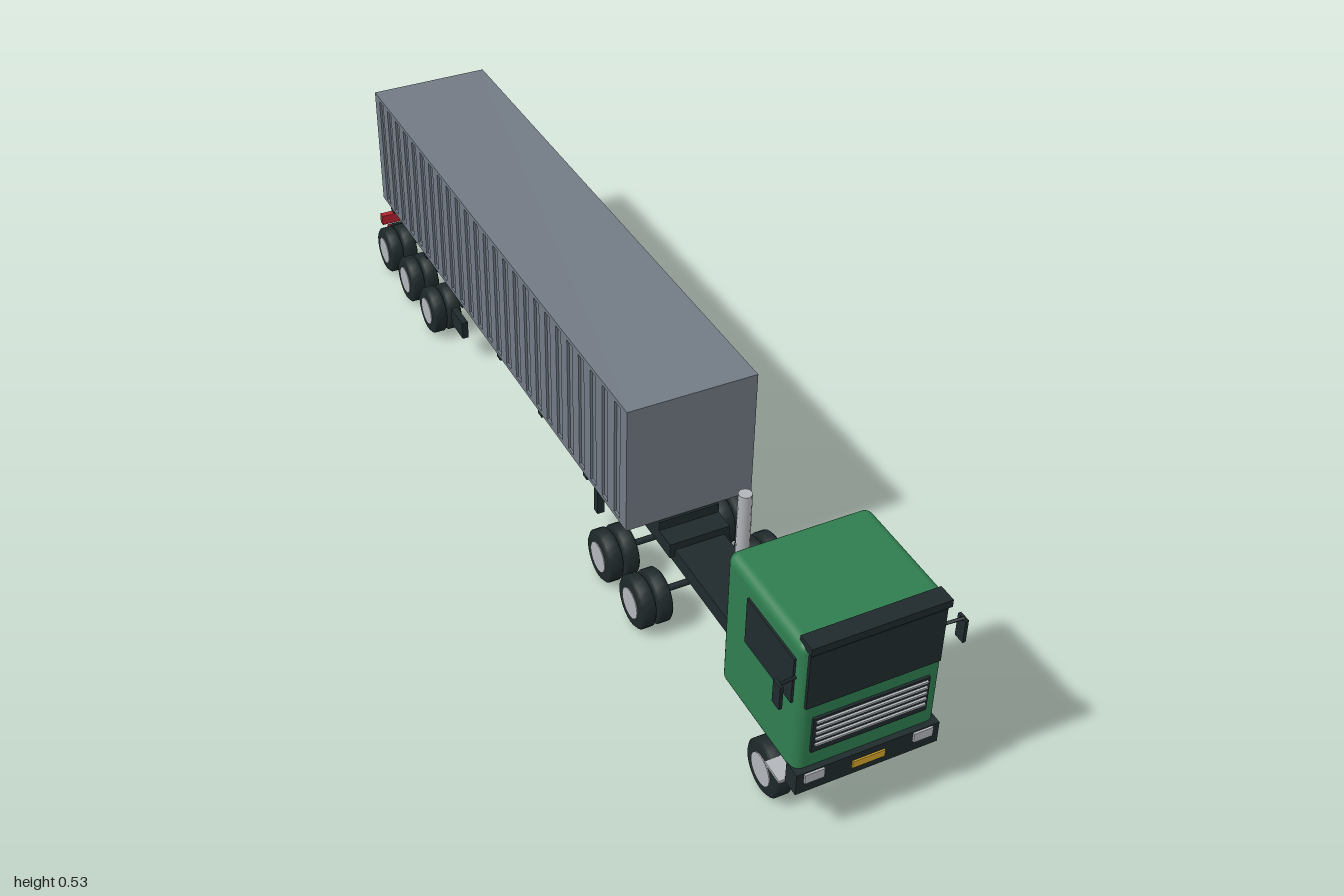
import * as THREE from 'three';
import { RoundedBoxGeometry } from 'three/addons/geometries/RoundedBoxGeometry.js';

const mat = (name, color) => {
  const m = new THREE.MeshStandardMaterial({ color });
  m.name = name;
  return m;
};

export function createModel() {
  const green = mat('cab green', 0x2f7d4f);
  const grey = mat('container grey', 0x727a84);
  const dark = mat('dark trim', 0x1f2a2c);
  const glass = mat('window glass', 0x202b2d);
  const rubber = mat('tyre rubber', 0x1e2829);
  const silver = mat('silver metal', 0xb2b5ba);
  const red = mat('rear bar red', 0xb5222e);
  const yellow = mat('plate yellow', 0xd3a62a);

  const model = new THREE.Group();
  model.name = 'containerTruck';
  const group = (name) => {
    const g = new THREE.Group();
    g.name = name;
    model.add(g);
    return g;
  };
  const add = (parent, name, geometry, material, x = 0, y = 0, z = 0) => {
    const m = new THREE.Mesh(geometry, material);
    m.name = name;
    m.position.set(x, y, z);
    parent.add(m);
    return m;
  };
  // Box given by its limits on each axis
  const box = (parent, name, material, [x0, x1], [y0, y1], [z0, z1]) =>
    add(parent, name, new THREE.BoxGeometry(x1 - x0, y1 - y0, z1 - z0), material,
      (x0 + x1) / 2, (y0 + y1) / 2, (z0 + z1) / 2);
  // The same box on both sides of the truck
  const pair = (parent, name, material, [x0, x1], y, z) => {
    box(parent, name + 'Left', material, [x0, x1], y, z);
    box(parent, name + 'Right', material, [-x1, -x0], y, z);
  };

  // Cab shell
  const cab = group('cab');
  add(cab, 'cabShell', new RoundedBoxGeometry(0.27, 0.29, 0.25, 4, 0.018), green, 0, 0.285, 0.86);
  box(cab, 'windshield', glass, [-0.125, 0.125], [0.298, 0.413], [0.981, 0.989]);
  pair(cab, 'sideWindow', glass, [0.131, 0.139], [0.297, 0.393], [0.815, 0.965]);
  box(cab, 'sunVisor', dark, [-0.128, 0.128], [0.421, 0.436], [0.96, 0.995]);

  // Grille with bright slats
  box(cab, 'grille', dark, [-0.109, 0.109], [0.193, 0.269], [0.98, 0.99]);
  for (let i = 0; i < 5; i++) {
    const y = 0.211 + i * 0.0128;
    box(cab, 'grilleSlat', silver, [-0.104, 0.104], [y - 0.002, y + 0.002], [0.988, 0.994]);
  }

  // Bumper, lamps, plate and steps
  box(cab, 'frontBumper', dark, [-0.136, 0.136], [0.112, 0.157], [0.963, 0.996]);
  pair(cab, 'headlight', silver, [0.085, 0.122], [0.135, 0.155], [0.99, 1]);
  box(cab, 'numberPlate', yellow, [-0.031, 0.031], [0.128, 0.143], [0.992, 0.999]);
  pair(cab, 'cabStep', silver, [0.08, 0.147], [0.11, 0.116], [0.915, 0.963]);

  // Mirrors on angled arms
  for (const s of [1, -1]) {
    const path = new THREE.LineCurve3(
      new THREE.Vector3(s * 0.13, 0.353, 0.965), new THREE.Vector3(s * 0.17, 0.365, 0.978));
    add(cab, 'mirrorArm', new THREE.TubeGeometry(path, 1, 0.003, 8), dark);
    add(cab, 'mirror', new THREE.BoxGeometry(0.006, 0.048, 0.022), dark, s * 0.17, 0.34, 0.974);
  }

  // Exhaust stack and fuel tank
  add(cab, 'exhaustStack', new THREE.CylinderGeometry(0.012, 0.012, 0.237, 12), silver, -0.098, 0.4085, 0.723);
  add(cab, 'fuelTank', new THREE.CylinderGeometry(0.034, 0.034, 0.132, 20), silver, 0.112, 0.108, 0.619)
    .rotation.x = Math.PI / 2;

  // Tractor chassis
  const chassis = group('chassis');
  box(chassis, 'tractorFrame', dark, [-0.052, 0.052], [0.096, 0.129], [0.14, 0.92]);
  box(chassis, 'couplingPlate', dark, [-0.063, 0.063], [0.113, 0.145], [0.15, 0.405]);

  // Container with ribbed sides
  const container = group('container');
  box(container, 'containerBody', grey, [-0.127, 0.127], [0.17, 0.447], [-0.955, 0.36]);
  pair(container, 'topRail', grey, [0.126, 0.132], [0.438, 0.447], [-0.955, 0.36]);
  pair(container, 'bottomRail', grey, [0.126, 0.132], [0.17, 0.179], [-0.955, 0.36]);
  const ribs = 26;
  for (let i = 0; i < ribs; i++) {
    const z = -0.941 + (i * 1.287) / (ribs - 1);
    pair(container, 'sideRib', grey, [0.126, 0.132], [0.179, 0.438], [z - 0.014, z + 0.014]);
  }

  // Trailer frame, cross members, landing legs and side plates
  const trailer = group('trailer');
  box(trailer, 'trailerBeam', dark, [-0.063, 0.063], [0.126, 0.165], [-0.977, 0.36]);
  for (let i = 0; i < 6; i++) {
    const z = 0.167 - i * 0.2155;
    box(trailer, 'crossMember', dark, [-0.127, 0.127], [0.152, 0.17], [z - 0.009, z + 0.009]);
  }
  pair(trailer, 'landingLeg', dark, [0.08, 0.095], [0.038, 0.155], [0.14, 0.156]);
  box(trailer, 'legBrace', dark, [-0.09, 0.09], [0.113, 0.128], [0.142, 0.154]);
  pair(trailer, 'sidePlate', dark, [0.112, 0.126], [0.063, 0.104], [-0.545, -0.48]);

  // Rear guard
  box(trailer, 'rearBar', red, [-0.13, 0.13], [0.075, 0.099], [-1, -0.985]);
  box(trailer, 'lowerBar', dark, [-0.11, 0.11], [0.057, 0.066], [-0.997, -0.988]);
  pair(trailer, 'lowerReflector', red, [0.11, 0.115], [0.057, 0.066], [-0.997, -0.988]);

  // Wheels: tyre profile with softened shoulders, bright disc outside
  const wheels = group('wheels');
  const tyre = (w) => {
    const h = w / 2;
    const pts = [[0, -h], [0.047, -h], [0.053, -h + 0.005], [0.053, h - 0.005], [0.047, h], [0, h]];
    return new THREE.LatheGeometry(pts.map(([r, y]) => new THREE.Vector2(r, y)), 24).rotateZ(-Math.PI / 2);
  };
  const rimGeometry = new THREE.CylinderGeometry(0.031, 0.031, 0.004, 24).rotateZ(Math.PI / 2);
  const axleGeometry = new THREE.CylinderGeometry(0.0065, 0.0065, 0.22, 10).rotateZ(Math.PI / 2);
  const single = tyre(0.034), dual = tyre(0.0315);
  for (const z of [0.88, 0.425, 0.285, -0.63, -0.77, -0.91]) {
    const steer = z > 0.8;
    add(wheels, 'axle', axleGeometry, dark, 0, 0.059, z);
    for (const s of [1, -1]) {
      if (steer) add(wheels, 'frontTyre', single, rubber, s * 0.114, 0.053, z);
      else {
        add(wheels, 'outerTyre', dual, rubber, s * 0.138, 0.053, z);
        add(wheels, 'innerTyre', dual, rubber, s * 0.104, 0.053, z);
      }
      add(wheels, 'rim', rimGeometry, silver, s * (steer ? 0.131 : 0.1535), 0.053, z);
    }
  }
  return model;
}
